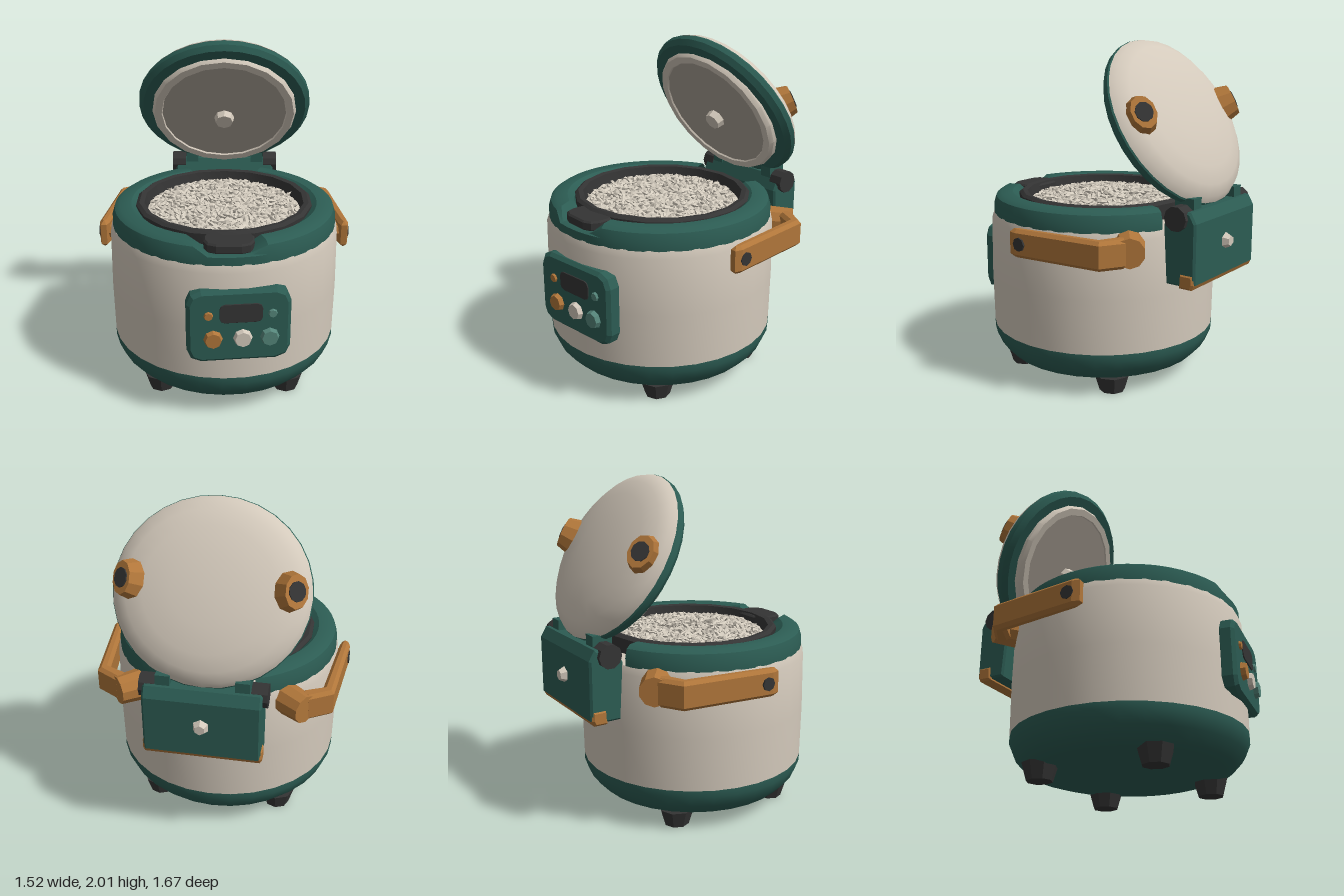
import * as THREE from 'three';
import { mergeGeometries, toCreasedNormals } from 'three/addons/utils/BufferGeometryUtils.js';

const mat = (name, color) => {
  const m = new THREE.MeshStandardMaterial({ color, side: THREE.DoubleSide });
  m.name = name;
  return m;
};
const cream = mat('cream shell', 0xd3c9bb);
const green = mat('deep green', 0x2c5c53);
const orange = mat('orange brown', 0xb0763a);
const black = mat('charcoal', 0x343434);
const plateGrey = mat('plate grey', 0xaaa196);
const sage = mat('sage button', 0x55857a);
const riceWhite = mat('rice', 0xd6cec0);

const CZ = 0.09; // axis of the round body

function add(parent, name, geo, material, x = 0, y = 0, z = 0) {
  const m = new THREE.Mesh(geo, material);
  m.name = name;
  m.position.set(x, y, z);
  parent.add(m);
  return m;
}

const lathe = (pts, seg = 32, start = 0, len = Math.PI * 2) => toCreasedNormals(
  new THREE.LatheGeometry(pts.map(p => new THREE.Vector2(...p)), seg, start, len), 0.6);

// flat-sided cylinder whose axis is y, or z when facing forward
function disc(r0, r1, h, sides, forward = false) {
  const g = toCreasedNormals(new THREE.CylinderGeometry(r0, r1, h, sides), 0.5);
  return forward ? g.rotateX(Math.PI / 2) : g;
}

// polygon extruded about its middle with a small bevel
function slab(pts, depth, bevel) {
  const g = new THREE.ExtrudeGeometry(new THREE.Shape(pts.map(p => new THREE.Vector2(...p))), {
    depth: depth - 2 * bevel, bevelEnabled: true, bevelSize: bevel, bevelThickness: bevel,
    bevelOffset: -bevel, bevelSegments: 1 });
  return g.translate(0, 0, -(depth - 2 * bevel) / 2);
}

// rectangle with cut corners
const cutRect = (w, h, c) => [[-w + c, -h], [w - c, -h], [w - c * 0.3, -h + c * 0.3], [w, -h + c],
  [w, h - c], [w - c * 0.3, h - c * 0.3], [w - c, h], [-w + c, h], [-w + c * 0.3, h - c * 0.3],
  [-w, h - c], [-w, -h + c], [-w + c * 0.3, -h + c * 0.3]];

function buildBody(root) {
  add(root, 'base', lathe([[0, 0.08], [0.52, 0.08], [0.6, 0.105], [0.66, 0.17], [0.69, 0.24], [0.69, 0.28]]),
    green, 0, 0, CZ);
  add(root, 'shell', lathe([[0.69, 0.28], [0.695, 0.6], [0.69, 0.94], [0.675, 0.985], [0.5, 0.985]]),
    cream, 0, 0, CZ);

  // rim, open behind the hinge and notched for the front tab
  const rim = new THREE.LatheGeometry([[0.675, 0.98], [0.675, 1.03], [0.66, 1.08], [0.63, 1.1], [0.56, 1.1],
    [0.52, 1.07], [0.52, 0.98]].map(p => new THREE.Vector2(...p)), 44, Math.PI + 0.4, Math.PI * 2 - 0.8);
  const p = rim.attributes.position;
  for (let i = 0; i < p.count; i++) {
    if (p.getZ(i) > 0.4 && Math.abs(p.getX(i) - 0.03) < 0.17) p.setY(i, Math.min(p.getY(i), 1.035));
  }
  add(root, 'rim', toCreasedNormals(rim, 0.6), green, 0, 0, CZ);

  // inner pot lip with its front tab
  add(root, 'potLip', lathe([[0.53, 1.0], [0.535, 1.09], [0.515, 1.105], [0.485, 1.1], [0.465, 1.0]], 18),
    black, 0, 0, 0.07);
  const tab = slab(cutRect(0.14, 0.1, 0.07), 0.06, 0.01).rotateX(-Math.PI / 2);
  add(root, 'potTab', tab, black, 0.03, 1.06, 0.63);

  for (const x of [-0.38, 0.38]) for (const z of [-0.27, 0.43]) {
    add(root, 'foot', disc(0.105, 0.075, 0.1, 8), black, x, 0.05, z);
  }
}

function buildRice(root) {
  let seed = 7;
  const rnd = () => (seed = (seed * 16807) % 2147483647) / 2147483647;
  const top = r => 1.035 + 0.05 * (1 - (r / 0.46) ** 2);
  add(root, 'riceBed', lathe([0.47, 0.35, 0.2, 0].map(r => [r, top(r)]), 24), riceWhite, 0, 0, 0.07);
  const grains = [];
  for (let i = 0; i < 560; i++) {
    const r = 0.445 * Math.sqrt((i + 0.5) / 560), a = i * 2.39996;
    const g = new THREE.OctahedronGeometry(1);
    g.scale(0.011 + rnd() * 0.008, 0.009 + rnd() * 0.006, 0.023 + rnd() * 0.014);
    g.rotateX((rnd() - 0.5) * 1.2).rotateZ(rnd() * 3).rotateY(rnd() * 6.28);
    grains.push(g.translate(r * Math.cos(a), top(r) + 0.006 + rnd() * 0.01, 0.07 + r * Math.sin(a)));
  }
  add(root, 'riceGrains', mergeGeometries(grains), riceWhite);
}

function buildPanel(root) {
  const panel = new THREE.Group();
  panel.name = 'controlPanel';
  panel.position.set(0.083, 0, CZ + 0.67);
  panel.rotation.y = 0.11;
  root.add(panel);
  add(panel, 'panelPlate', slab(cutRect(0.29, 0.22, 0.08), 0.1, 0.02), green, 0, 0.63, -0.01);
  add(panel, 'display', slab(cutRect(0.12, 0.057, 0.03), 0.008, 0.002), black, 0.01, 0.715, 0.043);
  [[-0.145, orange], [0.02, cream], [0.17, sage]].forEach(([x, m]) =>
    add(panel, 'button', disc(0.045, 0.057, 0.035, 8, true), m, x, 0.56, 0.05));
  [[-0.17, orange], [0.185, sage]].forEach(([x, m]) =>
    add(panel, 'indicator', disc(0.022, 0.028, 0.015, 8, true), m, x, 0.705, 0.045));
}

function buildHandles(root) {
  for (const s of [-1, 1]) {
    const handle = new THREE.Group();
    handle.name = s > 0 ? 'leftHandle' : 'rightHandle';
    root.add(handle);
    const outline = [[0.757, 0.13], [0.745, 0.175], [0.71, 0.175], [0.695, 0.13], [0.63, -0.37],
      [0.52, -0.42], [0.5, -0.48], [0.56, -0.5], [0.695, -0.42]];
    const bar = slab(outline.map(([x, z]) => [s * x, -z]), 0.165, 0.02).rotateX(-Math.PI / 2);
    add(handle, 'handleBar', bar, orange, 0, 0.9, 0);
    const hub = add(handle, 'handleHub', disc(0.085, 0.095, 0.16, 10, true), orange, s * 0.485, 0.905, -0.465);
    hub.rotation.y = s * 2.25;
    const pin = disc(0.05, 0.05, 0.08, 8).rotateZ(Math.PI / 2);
    add(handle, 'handlePin', pin, orange, s * 0.68, 0.9, 0.1);
    const cap = disc(0.04, 0.04, 0.012, 8).rotateZ(Math.PI / 2);
    add(handle, 'handleCap', cap, black, s * 0.755, 0.9, 0.1);
  }
}

function buildHinge(root) {
  const across = (pts, w) => slab(pts, w, 0.012).rotateY(-Math.PI / 2);
  add(root, 'hingeHousing', across([[-0.6, 0.7], [-0.69, 0.7], [-0.785, 0.72], [-0.785, 1.06], [-0.75, 1.12],
    [-0.62, 1.12], [-0.58, 1.03]], 0.66), green);
  // orange underside block
  add(root, 'hingeFoot', across([[-0.685, 0.69], [-0.765, 0.69], [-0.78, 0.72], [-0.775, 0.775], [-0.69, 0.775]],
    0.675), orange);
  for (const s of [-1, 1]) {
    add(root, 'hingePivot', disc(0.07, 0.07, 0.09, 10).rotateZ(Math.PI / 2), black, s * 0.31, 1.08, -0.67);
    add(root, 'hingeLug', new THREE.BoxGeometry(0.08, 0.14, 0.12), green, s * 0.22, 1.11, -0.67);
  }
  add(root, 'ventStud', disc(0.03, 0.05, 0.04, 6, true).rotateY(Math.PI), cream, 0, 0.91, -0.8);
}

function buildLid(root) {
  const lid = new THREE.Group();
  lid.name = 'lid';
  lid.position.set(0, 1.53, -0.39);
  lid.rotation.x = -1.032;
  lid.scale.z = 0.95;
  root.add(lid);
  add(lid, 'lidRim', lathe([[0, 0.005], [0.44, 0], [0.52, 0], [0.547, 0.03], [0.55, 0.06], [0.53, 0.085]]), green);
  add(lid, 'lidDome', lathe([[0.545, 0.07], [0.52, 0.105], [0.46, 0.14], [0.36, 0.17], [0.2, 0.192], [0, 0.2]]), cream);

  // inner steam plate, slightly tipped
  const inner = new THREE.Group();
  inner.name = 'innerPlate';
  inner.rotation.x = -0.05;
  lid.add(inner);
  add(inner, 'plateFrame', lathe([[0.39, -0.025], [0.4, -0.045], [0.445, -0.045], [0.46, -0.02], [0.46, 0.02]], 20), cream);
  add(inner, 'plate', lathe([[0, -0.035], [0.4, -0.035], [0.4, 0]], 20), plateGrey);
  add(inner, 'plateKnob', disc(0.065, 0.055, 0.05, 8), cream, 0, -0.055, -0.04);

  // oval stops on the outside
  for (const s of [-1, 1]) {
    const stop = new THREE.Group();
    stop.name = 'lidStop';
    stop.position.set(s * 0.44, 0.155, 0.03);
    stop.rotation.z = -s * 0.6;
    lid.add(stop);
    add(stop, 'stopPad', disc(0.07, 0.09, 0.1, 10).scale(1, 1, 1.4), orange);
    add(stop, 'stopCap', disc(0.05, 0.05, 0.01, 10).scale(1, 1, 1.15), black, 0, 0.052, 0);
  }
}

export function createModel() {
  const root = new THREE.Group();
  root.name = 'riceCooker';
  [buildBody, buildRice, buildPanel, buildHandles, buildHinge, buildLid].forEach(build => build(root));
  return root;
}
